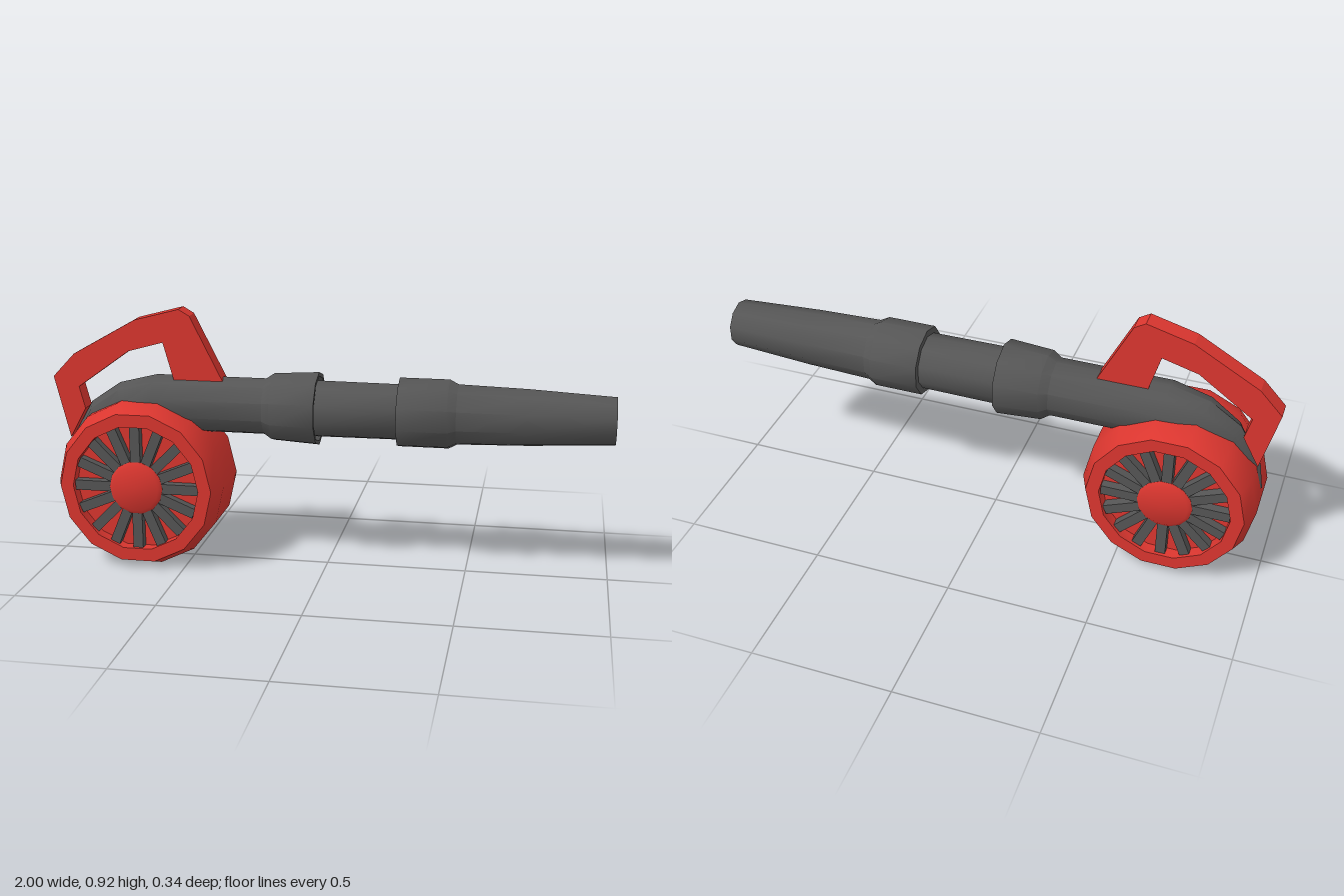
import * as THREE from 'three';
import { toCreasedNormals, mergeVertices } from 'three/addons/utils/BufferGeometryUtils.js';

const CREASE = 0.7;

// Skin of ten-sided rings; each section is [topX, topY, bottomX, bottomY, halfWidth].
function loft(sections, sides = 10) {
  const pos = [], index = [];
  for (const [tx, ty, bx, by, w] of sections) {
    for (let k = 0; k < sides; k++) {
      const a = (k / sides) * Math.PI * 2;
      const c = Math.cos(a);
      pos.push((tx + bx) / 2 + ((tx - bx) / 2) * c, (ty + by) / 2 + ((ty - by) / 2) * c, w * Math.sin(a));
    }
  }
  for (let s = 0; s < sections.length - 1; s++) {
    for (let k = 0; k < sides; k++) {
      const n = (k + 1) % sides;
      const a = s * sides + k, b = s * sides + n;
      index.push(a, b, a + sides, b, b + sides, a + sides);
    }
  }
  const g = new THREE.BufferGeometry();
  g.setAttribute('position', new THREE.Float32BufferAttribute(pos, 3));
  g.setIndex(index);
  return toCreasedNormals(g, CREASE);
}

// Lathe turned so that its axis runs along z, with corners on the x axis.
function turned(profile, sides) {
  const pts = profile.map(([r, z]) => new THREE.Vector2(r, z));
  const g = new THREE.LatheGeometry(pts, sides, Math.PI / 2);
  g.rotateX(Math.PI / 2);
  return toCreasedNormals(g, CREASE);
}

export function createModel() {
  const model = new THREE.Group();
  model.name = 'leafBlower';
  const red = new THREE.MeshStandardMaterial({ color: 0xdb362f });
  red.name = 'red plastic';
  const grey = new THREE.MeshStandardMaterial({ color: 0x555555 });
  grey.name = 'dark grey plastic';

  const add = (parent, name, geometry, material) => {
    const mesh = new THREE.Mesh(geometry, material);
    mesh.name = name;
    parent.add(mesh);
    return mesh;
  };

  // Fan housing: drum with chamfered edges and a recess on each side
  const fan = new THREE.Group();
  fan.name = 'fan';
  fan.position.set(-0.665, 0.298, 0);
  model.add(fan);
  const half = [[0, 0.125], [0.23, 0.125], [0.23, 0.17], [0.277, 0.17], [0.305, 0.1]];
  const drum = [...half.map(([r, z]) => [r, -z]), ...half.slice().reverse()];
  add(fan, 'housing', turned(drum, 14), red);

  // Intake on both sides: hub and radial slats
  const hub = turned([[0.097, 0.12], [0.097, 0.158], [0.083, 0.168], [0, 0.168]], 14);
  const slat = new THREE.BoxGeometry(0.135, 0.036, 0.035);
  slat.translate(0.158, 0, 0.14);
  for (const side of [0, 1]) {
    const intake = new THREE.Group();
    intake.name = side ? 'backIntake' : 'frontIntake';
    intake.rotation.y = side * Math.PI;
    fan.add(intake);
    add(intake, 'hub', hub, red);
    for (let i = 0; i < 16; i++) {
      add(intake, 'slat', slat, grey).rotation.z = (i / 16) * Math.PI * 2;
    }
  }

  // Blower tube: narrowing bend over the drum, two collars, hollow nozzle
  const Y = 0.578;
  const ring = (x, r) => [x, Y + r, x, Y - r, r];
  add(model, 'blowerTube', loft([
    [-0.9, 0.32, -0.9, 0.32, 0],
    [-0.966, 0.33, -0.82, 0.31, 0.04],
    [-0.95, 0.43, -0.8, 0.36, 0.052],
    [-0.87, 0.57, -0.76, 0.41, 0.072],
    [-0.76, 0.645, -0.7, 0.45, 0.09],
    [-0.62, 0.68, -0.62, 0.476, 0.1],
    ring(-0.22, 0.102), ring(-0.19, 0.122), ring(-0.03, 0.132),
    ring(-0.03, 0.118), ring(-0.06, 0.102),
    ring(0.255, 0.1), ring(0.255, 0.124), ring(0.43, 0.124), ring(0.46, 0.108),
    ring(0.7, 0.101), ring(1, 0.085),
    ring(1, 0.066), ring(0.82, 0.055), ring(0.8, 0),
  ]), grey);

  // Carrying handle: flat bent bar
  const outline = [
    [-0.945, 0.44], [-0.885, 0.55], [-0.906, 0.63], [-0.715, 0.767], [-0.588, 0.802],
    [-0.55, 0.665], [-0.37, 0.665], [-0.488, 0.9], [-0.527, 0.923], [-0.69, 0.88],
    [-0.92, 0.75], [-1, 0.665],
  ];
  const handleShape = new THREE.Shape(outline.map(([x, y]) => new THREE.Vector2(x, y)));
  const bar = new THREE.ExtrudeGeometry(handleShape, { depth: 0.066, bevelEnabled: false });
  bar.translate(0, 0, -0.033);
  add(model, 'handle', bar, red);

  return model;
}
